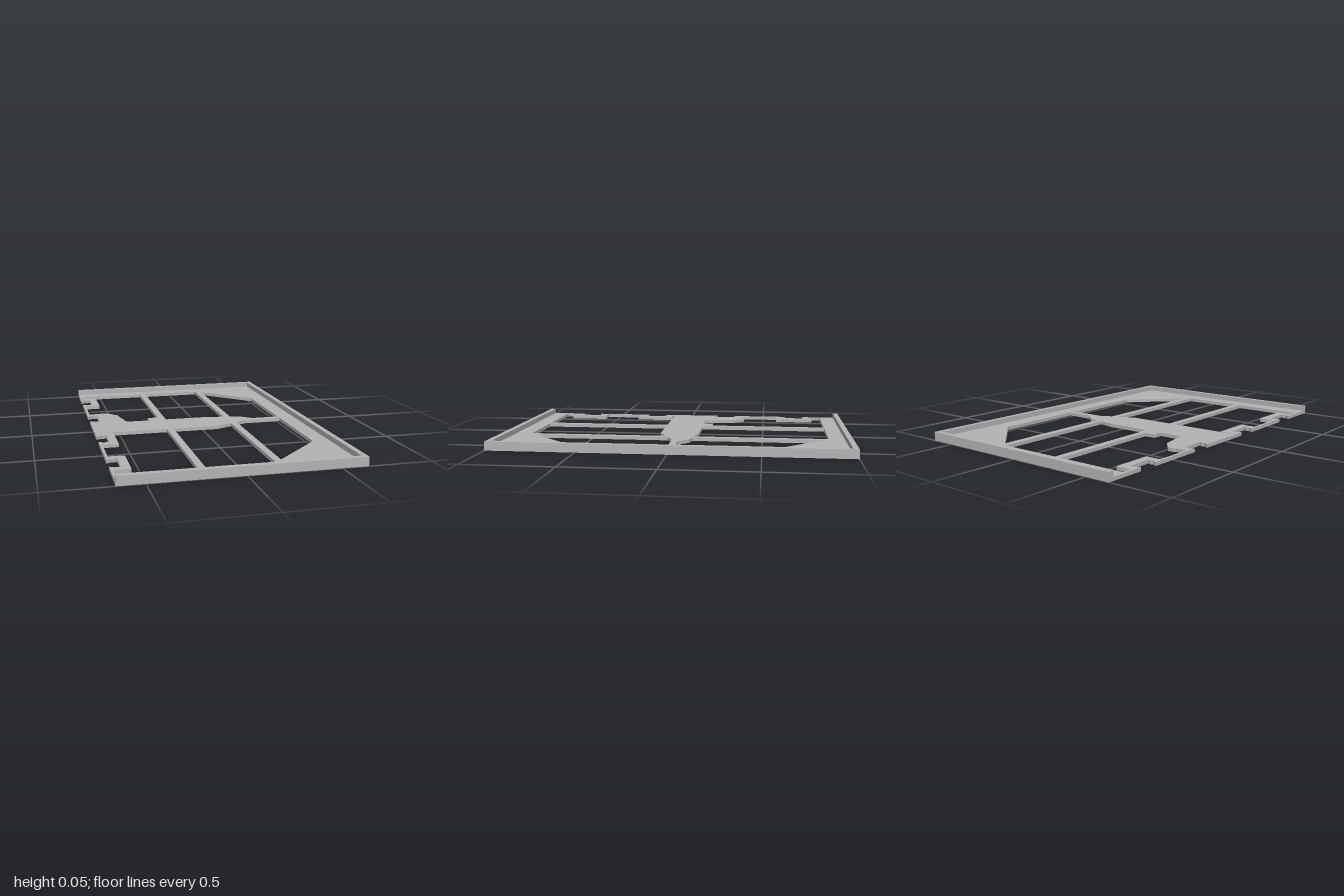
import * as THREE from 'three';

const W = 0.645, L = 1, RIM = 0.03, PLATE = 0.02, HEIGHT = 0.05;

// Plan coordinates are [x, z]
const toPoints = (pts) => pts.map(([x, z]) => new THREE.Vector2(x, -z));

function slab(name, outline, holes, y0, y1, material) {
  const shape = new THREE.Shape(toPoints(outline));
  for (const h of holes) shape.holes.push(new THREE.Path(toPoints(h)));
  const geo = new THREE.ExtrudeGeometry(shape, { depth: y1 - y0, bevelEnabled: false });
  geo.rotateX(-Math.PI / 2);
  geo.translate(0, y0, 0);
  const mesh = new THREE.Mesh(geo, material);
  mesh.name = name;
  return mesh;
}

// Clip notch cut into the open left edge, centred on z = c
const notch = (c) => [
  [-W, c - 0.057], [-0.615, c - 0.075], [-0.607, c - 0.068], [-0.588, c - 0.075],
  [-0.588, c + 0.075], [-0.607, c + 0.068], [-0.615, c + 0.075], [-W, c + 0.057],
];

// Step of a window edge around a clip block, from high z to low z
const clipBlock = (c) => [
  [-0.63, c + 0.117], [-0.54, c + 0.117], [-0.54, c - 0.117], [-0.63, c - 0.117],
];

export function createModel() {
  const group = new THREE.Group();
  group.name = 'trayFrame';
  const grey = new THREE.MeshStandardMaterial({ color: 0xb3b3b3 });
  grey.name = 'grey';

  const clips = [-0.705, -0.243, 0.237, 0.698];
  const outline = [[-W, -L], ...clips.flatMap(notch), [-W, L], [W, L], [W, -L]];

  const windows = [
    // back left, shaped around the clip and the central bracket
    [[-0.63, -0.88], [-0.22, -0.88], [-0.22, -0.18], [-0.285, -0.18], [-0.285, -0.12],
      [-0.425, -0.12], [-0.46, -0.3], [-0.52, -0.37], [-0.555, -0.37], [-0.56, -0.36],
      [-0.63, -0.36], ...clipBlock(clips[0])],
    // back middle
    [[-0.18, -0.88], [0.187, -0.88], [0.187, -0.1], [0.095, -0.12], [-0.18, -0.12]],
    // back right, with the cut corner
    [[0.228, -0.85], [0.52, -0.565], [0.52, -0.025], [0.355, -0.025], [0.285, -0.085], [0.228, -0.095]],
    // front right, with the cut corner
    [[0.228, 0.845], [0.52, 0.56], [0.52, 0.015], [0.295, 0.015], [0.228, 0.05]],
    // front middle
    [[-0.18, 0.11], [0.092, 0.11], [0.187, 0.067], [0.187, 0.875], [-0.18, 0.875]],
    // front left, around two clips
    [[-0.63, 0.11], [-0.22, 0.11], [-0.22, 0.875], [-0.63, 0.875],
      ...clipBlock(clips[3]), ...clipBlock(clips[2])],
  ];
  group.add(slab('basePlate', outline, windows, 0, PLATE, grey));

  // Raised lip on three sides
  const lip = [
    [-W, -L], [W, -L], [W, L], [-W, L],
    [-W, L - RIM], [W - RIM, L - RIM], [W - RIM, -L + RIM], [-W, -L + RIM],
  ];
  group.add(slab('raisedRim', lip, [], PLATE, HEIGHT, grey));
  return group;
}
